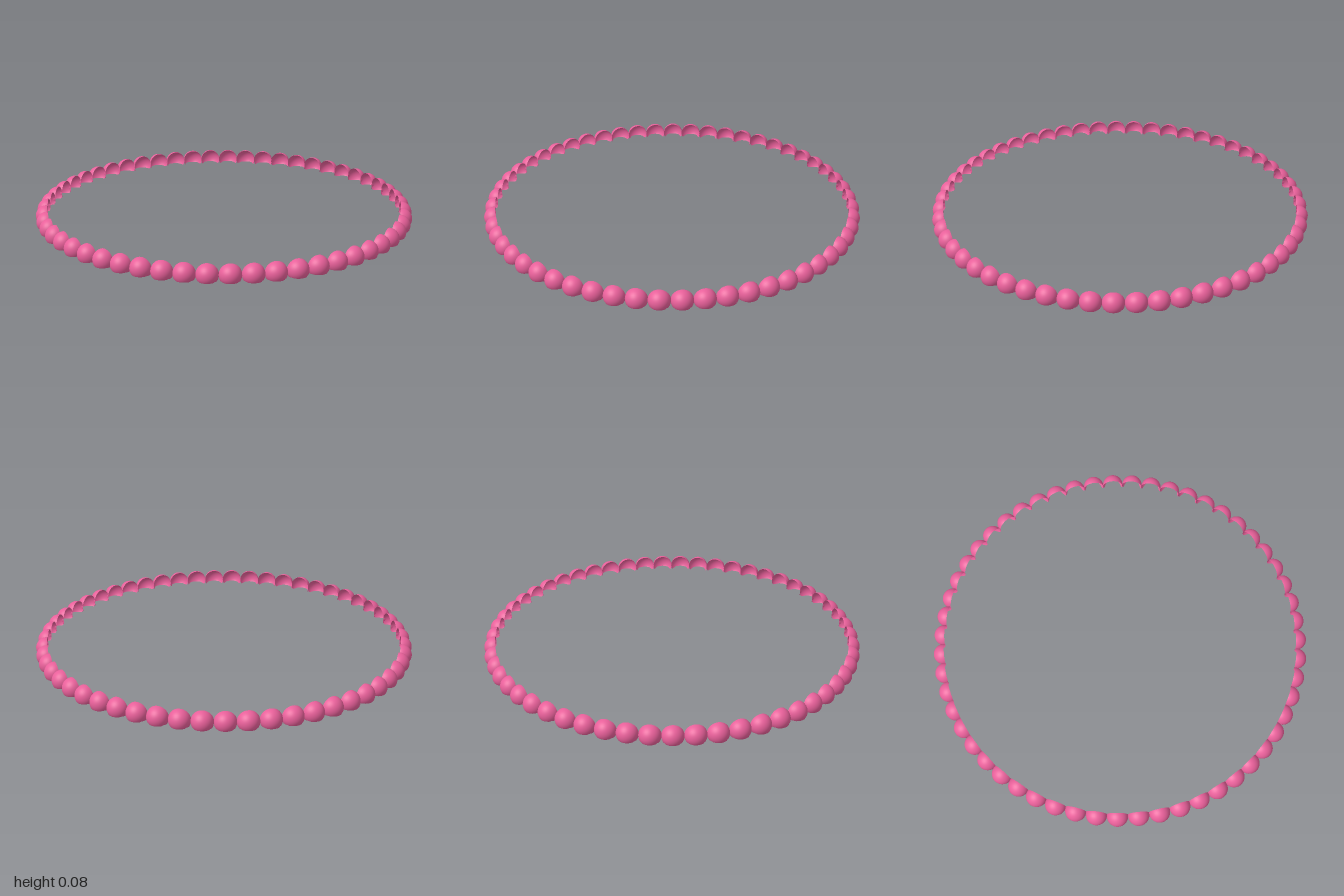
import * as THREE from 'three';

const COUNT = 55;          // beads around the ring
const R = 0.055;           // bead radius
const RING = 0.945;        // radius of the circle through the bead centres
const INNER = 0.94;        // beads are cut off inside this radius
const LIFT = R / 2;        // bead centre height, cut off at the ground

// Open bead shell facing +x: a sphere trimmed by the inner cylinder and by y = 0
function beadShell() {
  const geo = new THREE.SphereGeometry(1, 36, 10, 0, Math.PI * 2, 0, Math.PI / 2);
  geo.rotateZ(-Math.PI / 2);
  const pos = geo.attributes.position;
  const nor = geo.attributes.normal;
  for (let i = 0; i < pos.count; i++) {
    const t = Math.acos(THREE.MathUtils.clamp(pos.getX(i), -1, 1)) / (Math.PI / 2);
    const phi = Math.atan2(pos.getZ(i), pos.getY(i));
    const c = Math.cos(phi), s = Math.sin(phi);
    // angle from the outer pole at which the shell meets the inner cylinder
    let limit = Math.acos((INNER ** 2 - RING ** 2 - (R * s) ** 2) / (2 * RING * R));
    // or, lower down, the ground
    if (c < -LIFT / R) limit = Math.min(limit, Math.asin(LIFT / R / -c));
    const a = t * limit;
    const x = Math.cos(a), y = Math.sin(a) * c, z = Math.sin(a) * s;
    nor.setXYZ(i, x, y, z);
    pos.setXYZ(i, RING + R * x, Math.max(0, LIFT + R * y), R * z);
  }
  return geo;
}

export function createModel() {
  const model = new THREE.Group();
  model.name = 'beadRing';
  const material = new THREE.MeshStandardMaterial({ color: 0xe8609a, side: THREE.DoubleSide });
  const geo = beadShell();

  // Beads spaced evenly, the first one on +x
  for (let i = 0; i < COUNT; i++) {
    const bead = new THREE.Mesh(geo, material);
    bead.name = 'bead';
    bead.rotation.y = (i / COUNT) * Math.PI * 2;
    model.add(bead);
  }
  return model;
}
